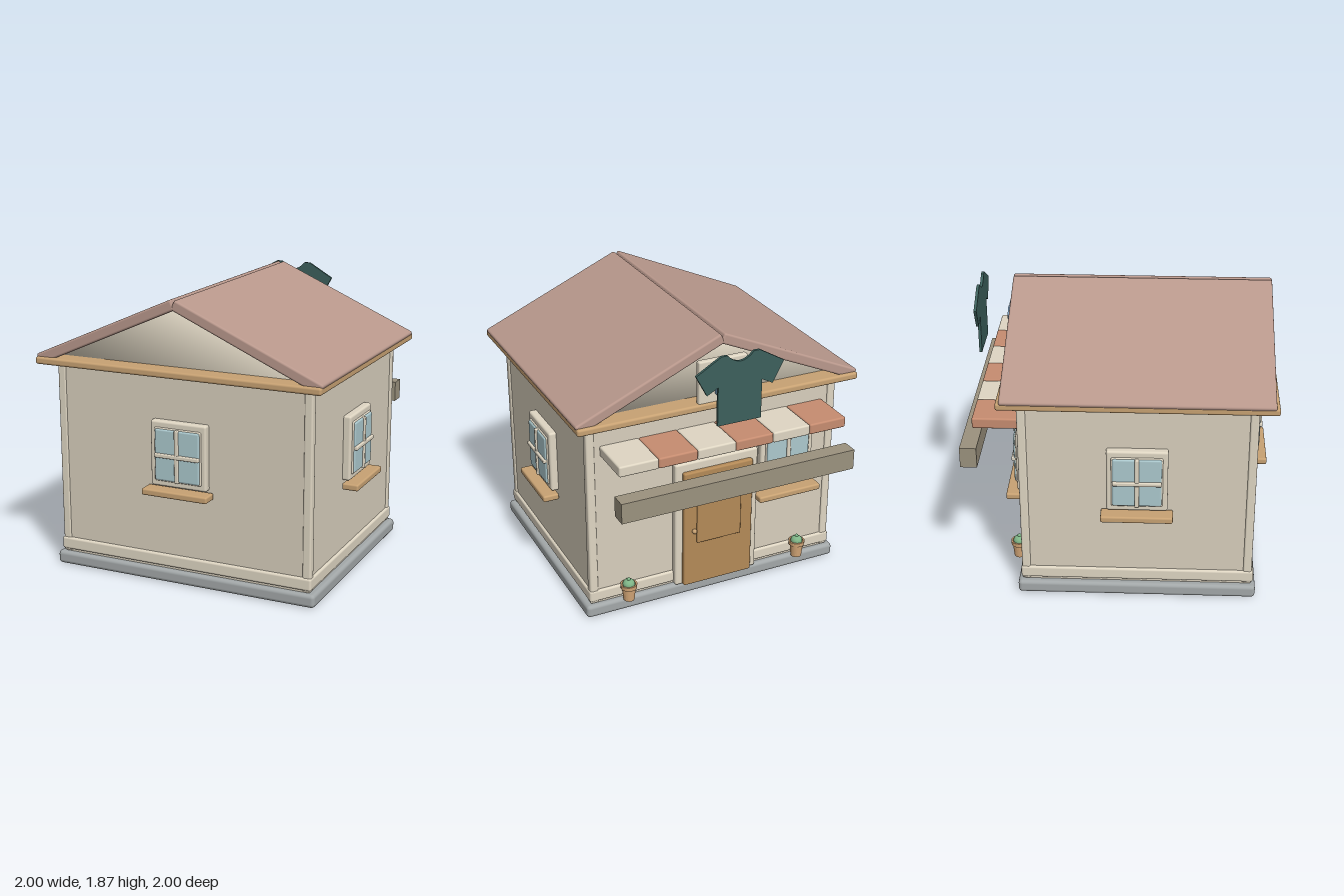
import * as THREE from 'three';
import { RoundedBoxGeometry } from 'three/addons/geometries/RoundedBoxGeometry.js';
import { mergeVertices } from 'three/addons/utils/BufferGeometryUtils.js';

const paint = (color) => new THREE.MeshStandardMaterial({ color });
const cream = paint(0xdfd6c3);
const wallPaint = paint(0xd8cfbd);
const roofPaint = paint(0xb9988c);
const wood = paint(0xc8a273);
const doorWood = paint(0xb48a57);
const stone = paint(0xa3a8a9);
const glass = paint(0xacc9ce);
const terracotta = paint(0xc68c70);
const clay = paint(0xd6a878);
const leaf = paint(0x7fb587);
const darkGreen = paint(0x3c605c);
const blue = paint(0x7393b0);
const beamPaint = paint(0x9b927e);

const BACK = -0.62; // back wall plane
const MID = 0.13; // middle of the house in z

function add(parent, name, geometry, material, x = 0, y = 0, z = 0) {
  const mesh = new THREE.Mesh(geometry, material);
  mesh.name = name;
  mesh.position.set(x, y, z);
  parent.add(mesh);
  return mesh;
}

// Rounded box given by its limits on each axis
function block(parent, name, material, [x0, x1], [y0, y1], [z0, z1], r = 0.012) {
  const w = x1 - x0, h = y1 - y0, d = z1 - z0;
  const geometry = new RoundedBoxGeometry(w, h, d, 2, Math.min(r, w * 0.45, h * 0.45, d * 0.45));
  return add(parent, name, geometry, material, (x0 + x1) / 2, (y0 + y1) / 2, (z0 + z1) / 2);
}

// Window facing +z with its back on z = 0
function makeWindow() {
  const win = new THREE.Group();
  win.name = 'window';
  block(win, 'windowFrame', cream, [-0.195, 0.195], [0.66, 1.09], [-0.02, 0.04], 0.015);
  block(win, 'windowRim', cream, [-0.164, 0.164], [0.696, 1.05], [0, 0.05]);
  block(win, 'windowGlass', glass, [-0.156, 0.156], [0.704, 1.042], [0, 0.06]);
  block(win, 'verticalBar', cream, [-0.014, 0.014], [0.7, 1.046], [0, 0.072], 0.008);
  block(win, 'horizontalBar', cream, [-0.156, 0.156], [0.857, 0.885], [0, 0.075], 0.008);
  block(win, 'windowSill', wood, [-0.23, 0.23], [0.608, 0.652], [0, 0.11]);
  return win;
}

// Flat shirt silhouette, centred on its own middle
function shirtGeometry(scale, depth) {
  const s = new THREE.Shape();
  s.moveTo(-0.15, -0.23);
  [[0.15, -0.23], [0.15, 0.03], [0.225, -0.01], [0.3, 0.13], [0.13, 0.23], [0.09, 0.23]].forEach(([x, y]) => s.lineTo(x, y));
  s.quadraticCurveTo(0, 0.13, -0.09, 0.23);
  [[-0.13, 0.23], [-0.3, 0.13], [-0.225, -0.01], [-0.15, 0.03]].forEach(([x, y]) => s.lineTo(x, y));
  s.closePath();
  const geometry = new THREE.ExtrudeGeometry(s, { depth: depth / scale, bevelEnabled: false, curveSegments: 8 });
  geometry.translate(0, 0, -depth / scale / 2);
  geometry.scale(scale, scale, 1 * scale);
  return geometry;
}

function makePot() {
  const pot = new THREE.Group();
  pot.name = 'flowerPot';
  const profile = [[0, 0], [0.037, 0], [0.046, 0.09], [0.054, 0.09], [0.056, 0.118], [0.046, 0.118], [0.044, 0.108], [0, 0.108]];
  const geometry = new THREE.LatheGeometry(profile.map(([x, y]) => new THREE.Vector2(x, y)), 20).toNonIndexed();
  geometry.computeVertexNormals();
  add(pot, 'potBody', geometry, clay);
  add(pot, 'plant', new THREE.SphereGeometry(0.041, 16, 12), leaf, 0, 0.118, 0).scale.y = 0.85;
  add(pot, 'plantTip', new THREE.SphereGeometry(0.013, 10, 8), leaf, 0, 0.152, 0);
  return pot;
}

export function createModel() {
  const house = new THREE.Group();
  house.name = 'shopHouse';

  // Base, walls and trim
  block(house, 'foundation', stone, [-0.925, 0.925], [0, 0.088], [-0.647, 0.907], 0.025);
  block(house, 'walls', wallPaint, [-0.88, 0.88], [0.07, 1.4], [-0.61, 0.872], 0.01);
  block(house, 'baseboard', cream, [-0.897, 0.897], [0.105, 0.187], [-0.627, 0.892], 0.015);
  block(house, 'upperTrim', wood, [-0.912, 0.912], [1.363, 1.4], [-0.642, 0.905]);
  block(house, 'cornice', wood, [-0.985, 0.985], [1.388, 1.436], [-0.738, 0.998], 0.015);
  for (const sx of [-1, 1]) {
    for (const z of [BACK + 0.027, 0.853]) {
      block(house, 'cornerPost', cream, [sx * 0.862 - 0.028, sx * 0.862 + 0.028], [0.09, 1.375], [z - 0.028, z + 0.028]);
    }
  }

  // Softly shaded gable prism under the roof
  const triangle = new THREE.Shape([new THREE.Vector2(-0.87, 1.425), new THREE.Vector2(0.87, 1.425), new THREE.Vector2(0, 1.815)]);
  let gable = new THREE.ExtrudeGeometry(triangle, { depth: 1.48, bevelEnabled: false });
  gable.deleteAttribute('normal');
  gable.deleteAttribute('uv');
  gable = mergeVertices(gable);
  gable.computeVertexNormals();
  add(house, 'gable', gable, cream, 0, 0, -0.61);

  // Roof slabs meeting in a notch at the ridge
  for (const sx of [-1, 1]) {
    const slab = add(house, 'roofSlab', new RoundedBoxGeometry(1.07, 0.07, 1.69, 2, 0.014), roofPaint, sx * 0.489, 1.631, MID);
    slab.rotation.z = -sx * 0.415;
  }

  // Windows on the front, the sides and the back
  const places = [[0, 0.88, 0], [0.89, MID, Math.PI / 2], [-0.89, MID, -Math.PI / 2], [-0.52, -0.615, Math.PI]];
  for (const [x, z, turn] of places) {
    const win = makeWindow();
    win.position.set(x, 0, z);
    win.rotation.y = turn;
    house.add(win);
  }

  // Back door
  const door = new THREE.Group();
  door.name = 'door';
  house.add(door);
  block(door, 'doorFrame', cream, [-0.3, 0.3], [0.09, 1.0], [-0.66, -0.6], 0.015);
  block(door, 'doorLeaf', doorWood, [-0.25, 0.25], [0.092, 0.94], [-0.69, -0.64]);
  block(door, 'doorPanel', doorWood, [-0.16, 0.16], [0.41, 0.745], [-0.704, -0.68], 0.008);
  add(door, 'doorKnob', new THREE.SphereGeometry(0.017, 14, 10), wood, 0.18, 0.505, -0.7);

  // Striped awning above the door
  for (let i = 0; i < 6; i++) {
    const x = -0.795 + i * 0.265;
    block(house, 'awningPanel', i % 2 ? cream : terracotta, [x, x + 0.265], [1.158, 1.23], [-0.915, -0.6]);
  }

  // Beam and hanging shirt in front of the back wall
  add(house, 'signBeam', new THREE.BoxGeometry(1.64, 0.138, 0.108), beamPaint, 0, 0.957, -0.946);
  add(house, 'largeShirt', shirtGeometry(1, 0.018), darkGreen, 0, 1.61, -0.935);

  // Small sign in the back gable
  block(house, 'gableSign', cream, [-0.17, 0.17], [1.42, 1.72], [-0.724, -0.68]);
  add(house, 'smallShirt', shirtGeometry(0.39, 0.03), blue, 0, 1.58, -0.737);

  // Potted plants beside the door
  for (const x of [-0.62, 0.64]) {
    const pot = makePot();
    pot.position.set(x, 0.092, -0.667);
    house.add(pot);
  }
  return house;
}
